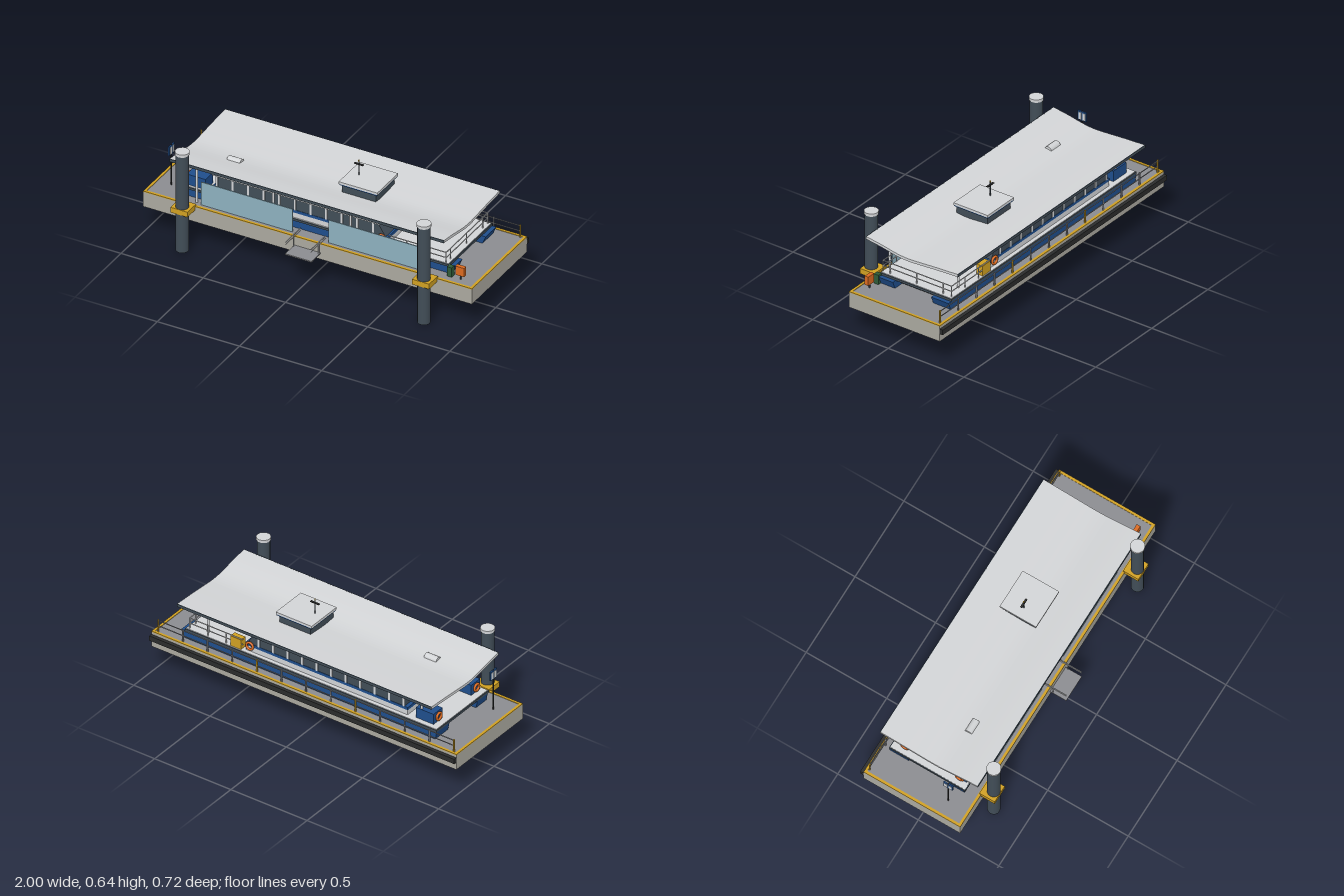
import * as THREE from 'three';

const mat = (name, color) => {
  const m = new THREE.MeshStandardMaterial({ color });
  m.name = name;
  return m;
};

export function createModel() {
  const root = new THREE.Group();
  root.name = 'ferryTerminal';
  const concrete = mat('concrete', 0xaaa89f), deckGrey = mat('deckGrey', 0x8b8c90);
  const slate = mat('slate', 0x414d57), light = mat('lightGrey', 0xd2d4d6);
  const blue = mat('blue', 0x1f4e8c), yellow = mat('yellow', 0xd0a022);
  const black = mat('black', 0x2b2c2c), glass = mat('glass', 0x8db0be);
  const orange = mat('orange', 0xdb6a20), green = mat('green', 0x2f5a38);

  const add = (parent, name, geo, m, x = 0, y = 0, z = 0) => {
    const mesh = new THREE.Mesh(geo, m);
    mesh.name = name;
    mesh.position.set(x, y, z);
    parent.add(mesh);
    return mesh;
  };
  // box given by its limits on each axis
  const box = (parent, name, m, x0, x1, y0, y1, z0, z1) =>
    add(parent, name, new THREE.BoxGeometry(x1 - x0, y1 - y0, z1 - z0), m,
      (x0 + x1) / 2, (y0 + y1) / 2, (z0 + z1) / 2);
  // round bar between two points
  const bar = (parent, name, m, a, b, r = 0.003, sides = 8) => {
    const p = new THREE.Vector3(...a), q = new THREE.Vector3(...b);
    const mesh = add(parent, name, new THREE.CylinderGeometry(r, r, p.distanceTo(q), sides), m);
    mesh.position.copy(p).lerp(q, 0.5);
    mesh.quaternion.setFromUnitVectors(new THREE.Vector3(0, 1, 0), q.sub(p).normalize());
    return mesh;
  };
  const group = (name) => {
    const g = new THREE.Group();
    g.name = name;
    root.add(g);
    return g;
  };

  // Floating pontoon
  const pontoon = group('pontoon');
  box(pontoon, 'pontoonHull', concrete, -1, 1, 0.163, 0.255, -0.34, 0.26);
  box(pontoon, 'keelBox', concrete, -0.13, 0.13, 0.112, 0.163, -0.14, 0.06);
  box(pontoon, 'deckSurface', deckGrey, -0.985, 0.985, 0.255, 0.257, -0.325, 0.245);
  box(pontoon, 'rearFender', black, -1, 1, 0.21, 0.24, -0.36, -0.34);
  box(pontoon, 'frontTrim', yellow, -1, 1, 0.255, 0.26, 0.245, 0.26);
  box(pontoon, 'rearTrim', yellow, -1, 1, 0.255, 0.26, -0.34, -0.325);
  for (const s of [-1, 1]) {
    const e = box(pontoon, 'endTrim', yellow, 0.985, 1, 0.255, 0.26, -0.325, 0.245);
    e.position.x *= s;
  }

  // Mooring piles with caps and collars
  for (const x of [-0.735, 0.735]) {
    const pile = group('mooringPile');
    add(pile, 'pileShaft', new THREE.CylinderGeometry(0.036, 0.036, 0.6, 16), slate, x, 0.3, 0.308);
    add(pile, 'pileCap', new THREE.CylinderGeometry(0.04, 0.04, 0.017, 16), light, x, 0.6085, 0.308);
    box(pile, 'pileCollar', yellow, x - 0.052, x + 0.052, 0.238, 0.27, 0.25, 0.345);
  }

  // Gangway at the front
  const gangway = group('gangway');
  box(gangway, 'gangwayPlate', deckGrey, -0.08, 0.08, 0.197, 0.204, 0.26, 0.36);
  for (const x of [-0.077, 0.077]) {
    bar(gangway, 'gangwayRail', light, [x, 0.277, 0.36], [x, 0.277, 0.2]);
    bar(gangway, 'gangwayMidRail', light, [x, 0.262, 0.36], [x, 0.262, 0.2], 0.002);
    bar(gangway, 'gangwayPost', light, [x, 0.2, 0.275], [x, 0.277, 0.275]);
  }

  // Dished canopy, swept from one end to the other
  const canopy = group('canopy');
  const top = new THREE.CatmullRomCurve3([[-0.268, 0.517], [-0.17, 0.503], [-0.06, 0.483], [0.01, 0.478],
    [0.1, 0.483], [0.2, 0.49], [0.335, 0.497]].map(([a, y]) => new THREE.Vector3(a, y, 0))).getPoints(24);
  const outline = new THREE.Shape();
  top.forEach((p, i) => (i ? outline.lineTo(p.x, p.y) : outline.moveTo(p.x, p.y)));
  [...top].reverse().forEach((p) => outline.lineTo(p.x, p.y - 0.016));
  const canopyGeo = new THREE.ExtrudeGeometry(outline, { depth: 1.67, bevelEnabled: false });
  canopyGeo.translate(0, 0, -0.835).rotateY(Math.PI / 2);
  add(canopy, 'canopyRoof', canopyGeo, light);
  box(canopy, 'frontFascia', slate, -0.835, 0.835, 0.5, 0.517, 0.266, 0.27);
  box(canopy, 'rearFascia', slate, -0.835, 0.835, 0.48, 0.497, -0.338, -0.334);
  for (const x of [-0.7, -0.235, 0.235, 0.7])
    for (const [z, h] of [[0.213, 0.49], [-0.24, 0.475]])
      bar(canopy, 'canopyColumn', light, [x, 0.256, z], [x, h, z], 0.007, 12);

  // Glass wind screens
  for (const s of [-1, 1])
    box(root, 'windScreen', glass, s * 0.3875 - 0.2775, s * 0.3875 + 0.2775, 0.258, 0.4, 0.221, 0.227);

  // Rear railing on the pontoon
  const railing = group('rearRailing');
  for (const y of [0.295, 0.328])
    bar(railing, 'railBar', deckGrey, [-0.97, y, -0.32], [0.97, y, -0.32]);
  for (let i = 0; i <= 12; i++) {
    const x = -0.97 + (i * 1.94) / 12;
    bar(railing, 'railPost', i % 4 ? deckGrey : yellow, [x, 0.256, -0.32], [x, 0.333, -0.32], 0.005);
  }

  // Ferry: twin hulls with tapered bows, bridging deck
  const ferry = group('ferry');
  for (const [z0, z1] of [[-0.283, -0.168], [0.085, 0.178]]) {
    const side = new THREE.Shape([[-0.82, 0.257], [0.825, 0.257], [0.845, 0.303], [-0.83, 0.303]]
      .map((p) => new THREE.Vector2(...p)));
    const g = new THREE.ExtrudeGeometry(side, { depth: z1 - z0, bevelEnabled: false });
    add(ferry, 'ferryHull', g, blue, 0, 0, z0);
  }
  box(ferry, 'bridgeBeam', black, -0.8, 0.78, 0.272, 0.303, -0.168, 0.085);
  box(ferry, 'mainDeck', slate, -0.83, 0.82, 0.303, 0.316, -0.285, 0.188);
  box(ferry, 'deckCover', light, -0.825, 0.815, 0.316, 0.319, -0.28, 0.183);

  // Cabin: lower wall, stripe, raked window band and roof
  box(ferry, 'cabinWall', light, -0.62, 0.44, 0.319, 0.35, -0.257, 0.18);
  box(ferry, 'cabinStripe', blue, -0.622, 0.442, 0.35, 0.367, -0.259, 0.182);
  const band = new THREE.Shape([[-0.6, 0.367], [0.43, 0.367], [0.385, 0.438], [-0.6, 0.438]]
    .map((p) => new THREE.Vector2(...p)));
  add(ferry, 'windowBand', new THREE.ExtrudeGeometry(band, { depth: 0.437, bevelEnabled: false }),
    slate, 0, 0, -0.257);
  for (let i = 0; i < 11; i++)
    for (const z of [-0.257, 0.18]) {
      const x = -0.595 + i * 0.095;
      box(ferry, 'windowPost', light, x - 0.006, x + 0.006, 0.367, 0.438, z - 0.004, z + 0.004);
    }
  box(ferry, 'cabinRoof', light, -0.62, 0.4, 0.438, 0.455, -0.27, 0.192);

  // Wheelhouse with mast
  box(ferry, 'wheelhouse', slate, 0.1, 0.305, 0.455, 0.528, -0.142, 0.063);
  box(ferry, 'wheelhouseStripe', blue, 0.088, 0.317, 0.528, 0.535, -0.151, 0.071);
  box(ferry, 'wheelhouseRoof', light, 0.085, 0.32, 0.535, 0.549, -0.153, 0.073);
  bar(ferry, 'mast', slate, [0.145, 0.548, -0.04], [0.145, 0.633, -0.04]);
  box(ferry, 'mastCrossbar', black, 0.117, 0.173, 0.613, 0.618, -0.046, -0.034);
  add(ferry, 'mastLamp', new THREE.CylinderGeometry(0.004, 0.004, 0.008, 8), yellow, 0.145, 0.637, -0.04);

  // Life raft canister on the cabin roof
  bar(ferry, 'raftCanister', light, [-0.59, 0.477, 0.063], [-0.51, 0.477, 0.063], 0.023, 16);

  // Stern lockers and lifebuoys
  for (const z of [-0.21, 0.13]) {
    box(ferry, 'sternLocker', blue, -0.785, -0.67, 0.319, 0.383, z - 0.04, z + 0.04);
    const ring = add(ferry, 'sternLifebuoy', new THREE.TorusGeometry(0.02, 0.007, 8, 20), orange, -0.793, 0.353, z);
    ring.rotation.y = Math.PI / 2;
  }
  for (const z of [-0.266, 0.189])
    add(ferry, 'sideLifebuoy', new THREE.TorusGeometry(0.021, 0.007, 8, 20), orange, 0.41, 0.357, z);
  box(ferry, 'equipmentBox', yellow, 0.46, 0.53, 0.319, 0.38, -0.275, -0.235);

  // Bow railing
  for (const y of [0.352, 0.384]) {
    bar(ferry, 'bowRail', light, [0.8, y, -0.27], [0.8, y, 0.182]);
    for (const z of [-0.27, 0.182]) bar(ferry, 'bowSideRail', light, [0.45, y, z], [0.8, y, z]);
  }
  for (const z of [-0.27, -0.215, -0.04, 0.135, 0.182])
    bar(ferry, 'bowRailPost', light, [0.8, 0.318, z], [0.8, 0.384, z]);
  for (const x of [0.56, 0.68])
    for (const z of [-0.27, 0.182])
      bar(ferry, 'sideRailPost', light, [x, 0.318, z], [x, 0.384, z]);

  // Notice board on a pole
  const sign = group('noticeBoard');
  bar(sign, 'signPole', black, [-0.902, 0.256, 0.127], [-0.902, 0.51, 0.127], 0.004);
  box(sign, 'signPanel', blue, -0.906, -0.898, 0.453, 0.508, 0.098, 0.156);
  for (const z of [0.114, 0.14])
    box(sign, 'signPlate', light, -0.908, -0.896, 0.458, 0.5, z - 0.009, z + 0.009);

  // Bins and safety cabinet on the deck
  const kit = group('deckEquipment');
  box(kit, 'greenBin', green, 0.82, 0.848, 0.257, 0.315, 0.178, 0.208);
  box(kit, 'orangeCabinet', orange, 0.872, 0.925, 0.283, 0.337, 0.188, 0.211);
  bar(kit, 'cabinetPost', slate, [0.898, 0.256, 0.2], [0.898, 0.285, 0.2], 0.005);

  return root;
}
